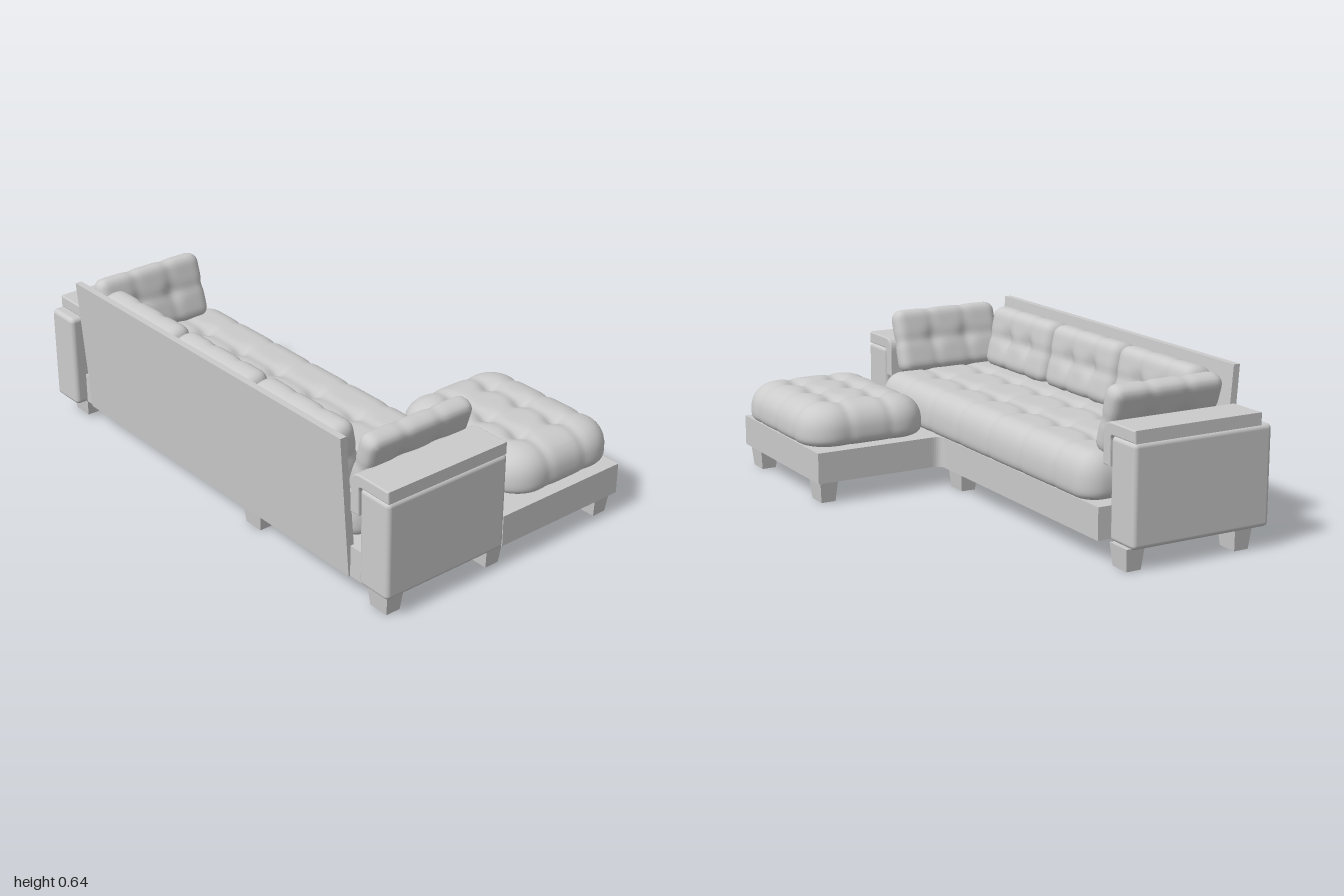
import * as THREE from 'three';
import { mergeVertices } from 'three/addons/utils/BufferGeometryUtils.js';
import { RoundedBoxGeometry } from 'three/addons/geometries/RoundedBoxGeometry.js';

const mat = new THREE.MeshStandardMaterial({ color: 0xcccccc });

function add(parent, name, geometry, x = 0, y = 0, z = 0) {
  const mesh = new THREE.Mesh(geometry, mat);
  mesh.name = name;
  mesh.position.set(x, y, z);
  parent.add(mesh);
  return mesh;
}

// Closeness (0..1) to the nearest inner seam of a side split into n sections
function seam(p, size, n, width) {
  let best = 0;
  for (let i = 1; i < n; i++) {
    const d = p - size * (i / n - 0.5);
    best = Math.max(best, Math.exp(-((d / width) ** 2)));
  }
  return best;
}

// Tufted cushion, thickness along y. belly is the height fraction of its widest line.
function cushionGeometry(sx, sy, sz, { nx, nz, r, belly = 0.5, depth = 0.02, bothSides = false }) {
  const geo = new THREE.BoxGeometry(sx, sy, sz, Math.round(sx / 0.014), 10, Math.round(sz / 0.014));
  geo.deleteAttribute('uv');
  geo.deleteAttribute('normal');
  const merged = mergeVertices(geo, 1e-5);
  const pos = merged.attributes.position;
  for (let i = 0; i < pos.count; i++) {
    const x = pos.getX(i), z = pos.getZ(i), t = pos.getY(i) / (sy / 2);
    const ix = THREE.MathUtils.clamp(x, r - sx / 2, sx / 2 - r);
    const iz = THREE.MathUtils.clamp(z, r - sz / 2, sz / 2 - r);
    const dx = (x - ix) / r, dz = (z - iz) / r;
    const len = Math.hypot(dx, dz) || 1;
    const edge = Math.max(Math.abs(dx), Math.abs(dz));
    // round the rim from square to superellipse
    const p = t < 0 && !bothSides ? 4 : 2.3;
    const norm = Math.pow(edge ** p + Math.abs(t) ** p, 1 / p) || 1;
    const m = Math.max(edge, Math.abs(t)) / norm;
    const tt = t * m;
    // creases along the seams, buttons where they cross
    const cx = seam(x, sx, nx, 0.02), cz = seam(z, sz, nz, 0.02);
    const dimple = seam(x, sx, nx, 0.035) * seam(z, sz, nz, 0.035);
    const crease = 0.22 * Math.max(cx, cz) + 0.78 * dimple;
    const out = (edge * m * r - 0.004 * edge * Math.max(cx, cz)) / len;
    const h = sy * (tt > 0 ? 1 - belly : belly);
    const weight = t > 0 || bothSides ? tt : 0;
    pos.setXYZ(i, ix + dx * out, sy * (belly - 0.5) + h * tt - depth * crease * weight, iz + dz * out);
  }
  merged.computeVertexNormals();
  return merged;
}

export function createModel() {
  const sofa = new THREE.Group();
  sofa.name = 'cornerSofa';

  // L-shaped base with a rounded inner corner
  const plan = new THREE.Shape();
  plan.moveTo(-0.55, -0.99);
  plan.lineTo(-0.015, -0.99);
  plan.lineTo(-0.015, -0.997);
  plan.lineTo(0.57, -0.997);
  plan.lineTo(0.57, -0.285);
  plan.lineTo(0.075, -0.285);
  plan.quadraticCurveTo(0.035, -0.285, 0.035, -0.245);
  plan.lineTo(0.035, 0.85);
  plan.lineTo(-0.55, 0.85);
  const baseGeo = new THREE.ExtrudeGeometry(plan, { depth: 0.122, bevelEnabled: false, curveSegments: 8 });
  add(sofa, 'base', baseGeo.rotateX(-Math.PI / 2), 0, 0.085, 0);

  // Tapered square legs
  const legGeo = new THREE.CylinderGeometry(0.0375 * Math.SQRT2, 0.03 * Math.SQRT2, 0.085, 4, 1)
    .rotateY(Math.PI / 4).scale(1, 1, 1.4).toNonIndexed();
  legGeo.computeVertexNormals();
  const legSpots = [[-0.497, 0.925], [-0.033, 0.925], [0.518, 0.925], [0.518, 0.353],
    [-0.033, 0.223], [-0.497, 0.223], [-0.033, -0.93], [-0.497, -0.93]];
  for (const [x, z] of legSpots) add(sofa, 'leg', legGeo, x, 0.0425, z);

  // Leaning back panel
  const panel = new THREE.Shape([[-0.557, 0.085], [-0.525, 0.085], [-0.57, 0.638], [-0.597, 0.638]]
    .map(([x, y]) => new THREE.Vector2(x, y)));
  add(sofa, 'backPanel', new THREE.ExtrudeGeometry(panel, { depth: 1.605, bevelEnabled: false }), 0, 0, -0.803);

  // Arms: rounded body plus a pad folding down over the inner side
  const pad = new THREE.Shape();
  pad.moveTo(0.99, 0.463);
  pad.lineTo(0.99, 0.5);
  pad.lineTo(0.85, 0.5);
  pad.quadraticCurveTo(0.807, 0.5, 0.807, 0.455);
  pad.lineTo(0.807, 0.35);
  pad.lineTo(0.84, 0.35);
  pad.lineTo(0.84, 0.44);
  pad.quadraticCurveTo(0.84, 0.463, 0.86, 0.463);
  const padGeo = new THREE.ExtrudeGeometry(pad, {
    depth: 0.53, curveSegments: 8, bevelSize: 0.005, bevelThickness: 0.005, bevelSegments: 2,
  });
  for (const side of [1, -1]) {
    const arm = new THREE.Group();
    arm.name = side > 0 ? 'frontArm' : 'rearArm';
    const back = side > 0 ? -0.555 : -0.598;
    const width = -0.01 - back;
    add(arm, 'armBody', new RoundedBoxGeometry(width, 0.38, 0.147, 4, 0.018),
      back + width / 2, 0.27, side * 0.9255);
    const top = add(arm, 'armPad', padGeo, side > 0 ? -0.018 : -0.548, 0, 0);
    top.rotation.y = -side * Math.PI / 2;
    sofa.add(arm);
  }

  // Seat cushions
  add(sofa, 'seatCushion', cushionGeometry(0.6, 0.175, 1.61,
    { nx: 3, nz: 7, r: 0.09, belly: 0.35, depth: 0.026 }), -0.24, 0.293, -0.005);
  add(sofa, 'chaiseCushion', cushionGeometry(0.535, 0.165, 0.67,
    { nx: 3, nz: 4, r: 0.13, belly: 0.32, depth: 0.03 }), 0.328, 0.29, 0.637);

  // Loose cushions stand on edge and lean back by tilt, turned about y
  function stand(mesh, turn, tilt) {
    mesh.rotation.set(0, turn, tilt - Math.PI / 2, 'YXZ');
  }
  const backGeo = cushionGeometry(0.26, 0.12, 0.472,
    { nx: 2, nz: 3, r: 0.045, depth: 0.024, bothSides: true });
  for (let i = -1; i <= 1; i++) {
    stand(add(sofa, 'backCushion', backGeo, -0.488, 0.49, 0.007 + i * 0.475), 0, 0.2);
  }
  const armGeo = cushionGeometry(0.265, 0.085, 0.475,
    { nx: 2, nz: 3, r: 0.04, depth: 0.018, bothSides: true });
  stand(add(sofa, 'frontArmCushion', armGeo, -0.27, 0.492, 0.787), Math.PI / 2, 0.3);
  stand(add(sofa, 'rearArmCushion', armGeo, -0.27, 0.492, -0.772), -Math.PI / 2, 0.3);

  return sofa;
}
